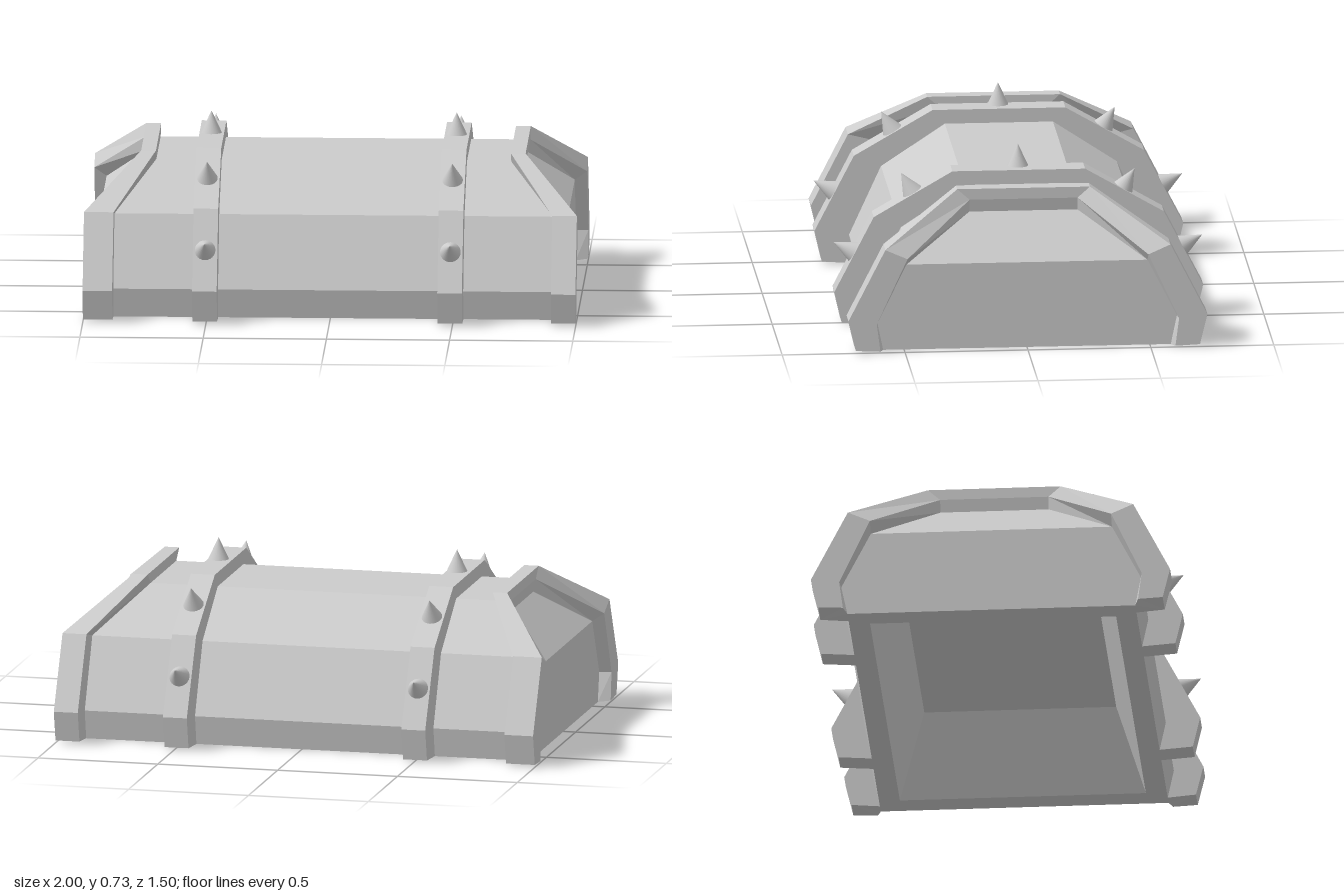
import * as THREE from 'three';

const material = new THREE.MeshStandardMaterial({ color: 0xcccccc, flatShading: true, side: THREE.DoubleSide });
const smooth = new THREE.MeshStandardMaterial({ color: 0xcccccc });

// Half profiles [z, y], from the front bottom edge up to the top
const BODY = [[0.585, 0], [0.61, 0.12], [0.48, 0.405], [0.22, 0.577]];
const PANEL = [[0.585, 0], [0.61, 0.12], [0.49, 0.355], [0.22, 0.525]];
const RIM = [[0.60, 0.005], [0.615, 0.12], [0.49, 0.39], [0.22, 0.577]];
const BAND = [[0.70, 0.01], [0.73, 0.135], [0.58, 0.43], [0.27, 0.622]];
const STRAP = [[0.72, 0.01], [0.75, 0.14], [0.59, 0.45], [0.27, 0.635]];

// Skins rows of points; can close each row into a ring and cap first/last ring
function skin(name, rows, { closed = false, capStart = false, capEnd = false } = {}) {
  const out = [];
  const tri = (a, b, c) => out.push(...a, ...b, ...c);
  for (let i = 0; i < rows.length - 1; i++) {
    const p = rows[i], q = rows[i + 1], n = p.length;
    for (let j = 0; j < (closed ? n : n - 1); j++) {
      const k = (j + 1) % n;
      tri(p[j], p[k], q[k]);
      tri(p[j], q[k], q[j]);
    }
  }
  const cap = (r, flip) => {
    for (let j = 1; j < r.length - 1; j++) flip ? tri(r[0], r[j + 1], r[j]) : tri(r[0], r[j], r[j + 1]);
  };
  if (capStart) cap(rows[0], true);
  if (capEnd) cap(rows[rows.length - 1], false);
  const geometry = new THREE.BufferGeometry();
  geometry.setAttribute('position', new THREE.Float32BufferAttribute(out, 3));
  geometry.computeVertexNormals();
  const mesh = new THREE.Mesh(geometry, material);
  mesh.name = name;
  return mesh;
}

// Runs a section over the lid from front to back; section(i, s) gives the corners
function overLid(section) {
  const rows = [0, 1, 2, 3].map((i) => section(i, 1));
  return rows.concat([3, 2, 1, 0].map((i) => section(i, -1)));
}
const at = (x, [z, y], s) => [x, y, z * s];

// Recessed end panel with its raised, inward-leaning border
function makeEnd(name, innerX) {
  const end = new THREE.Group();
  end.name = name;
  const outX = [1, 1, 1, 0.78], inX = [innerX, innerX, innerX, 0.72], panelX = [0.95, 0.95, 0.95, 0.77];
  end.add(skin('endPanel', PANEL.map((p, i) => [at(panelX[i], p, 1), at(panelX[i], p, -1)])));
  end.add(skin('endBand', overLid((i, s) => [
    at(inX[i], BAND[i], s), at(outX[i], BAND[i], s), at(outX[i], RIM[i], s),
    at(panelX[i], PANEL[i], s), at(inX[i], BODY[i], s),
  ]), { closed: true, capStart: true, capEnd: true }));
  return end;
}

// Strap with a spike in the middle of each upper face
function makeStrap(name, x) {
  const strap = new THREE.Group();
  strap.name = name;
  const a = x - 0.05, b = x + 0.05;
  strap.add(skin('strapBand', overLid((i, s) => [
    at(a, STRAP[i], s), at(b, STRAP[i], s), at(b, BODY[i], s), at(a, BODY[i], s),
  ]), { closed: true, capStart: true, capEnd: true }));

  const cone = new THREE.ConeGeometry(0.042, 0.09, 24).translate(0, 0.045, 0);
  const addSpike = (z, y, angle) => {
    const spike = new THREE.Mesh(cone, smooth);
    spike.name = 'spike';
    spike.position.set(x, y, z);
    spike.rotation.x = angle;
    strap.add(spike);
  };
  addSpike(0, 0.643, 0);
  for (const i of [1, 2]) {
    const [z0, y0] = STRAP[i], [z1, y1] = STRAP[i + 1];
    const angle = Math.atan2(y1 - y0, z0 - z1);
    for (const s of [1, -1]) addSpike(s * (z0 + z1) / 2, (y0 + y1) / 2, s * angle);
  }
  return strap;
}

export function createModel() {
  const model = new THREE.Group();
  model.name = 'chestLid';

  // Faceted outer shell
  const bodyX = [0.95, 0.95, 0.93, 0.75];
  model.add(skin('lidShell', overLid((i, s) => [at(-bodyX[i], BODY[i], s), at(bodyX[i], BODY[i], s)])));

  // Underside rim and tapered hollow
  const ring = (x, y, z) => [[x, y, z], [-x, y, z], [-x, y, -z], [x, y, -z]];
  model.add(skin('hollow', [ring(0.95, 0, 0.585), ring(0.85, 0, 0.5), ring(0.7, 0.32, 0.39)],
    { closed: true, capEnd: true }));

  // Ends and straps
  const rightEnd = makeEnd('rightEnd', 0.88);
  rightEnd.rotation.y = Math.PI;
  model.add(makeEnd('leftEnd', 0.9), rightEnd);
  model.add(makeStrap('leftStrap', 0.49), makeStrap('rightStrap', -0.505));
  return model;
}
